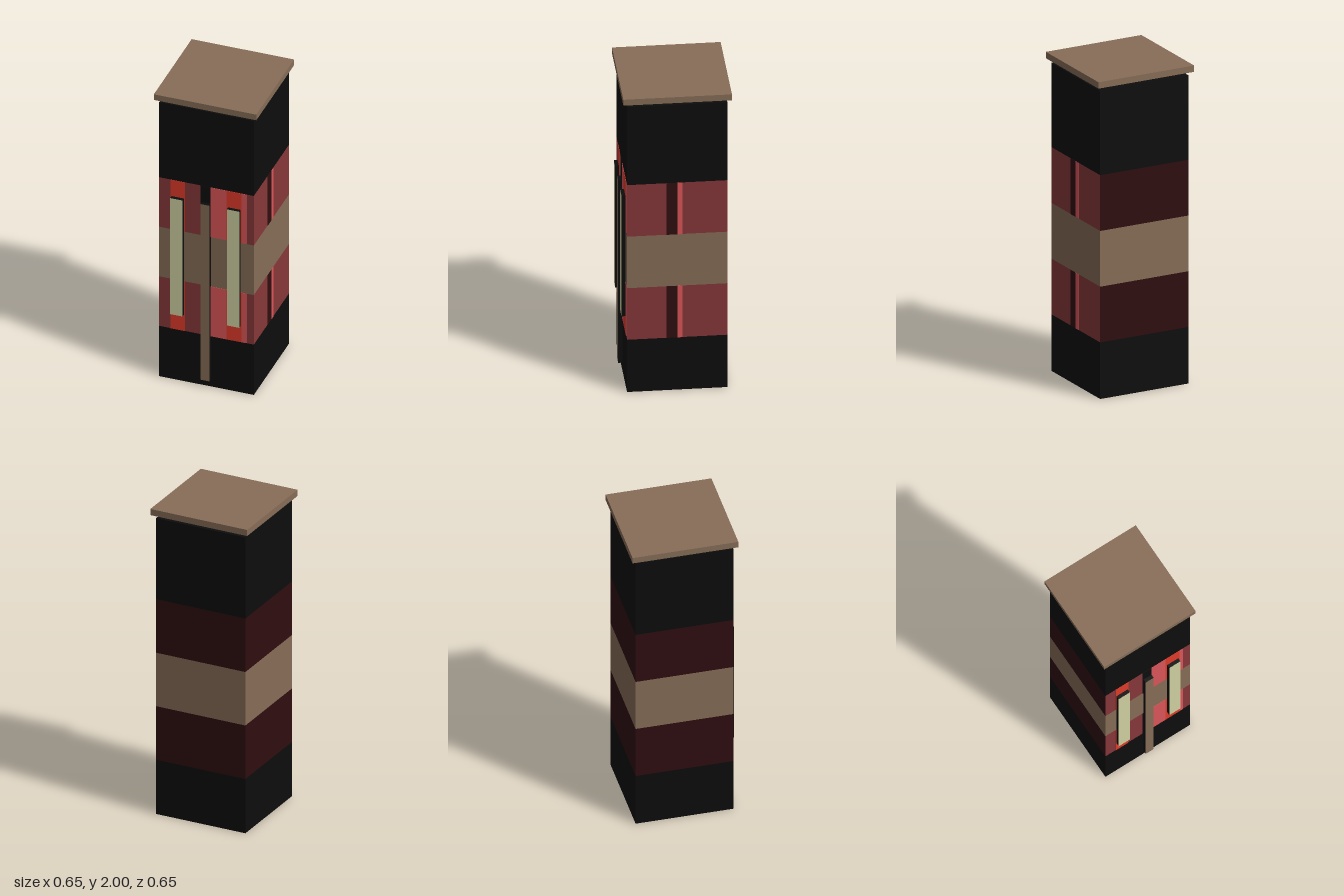
import * as THREE from 'three';

const mat = (name, color) => {
  const m = new THREE.MeshStandardMaterial({ color });
  m.name = name;
  return m;
};

export function createModel() {
  const black = mat('black', 0x0d0d0d);
  const brown = mat('brown', 0x876d57);
  const red = mat('dull red', 0x88383a);
  const lightRed = mat('light red', 0xdc5659);
  const brightRed = mat('bright red', 0xe23c2a);
  const maroon = mat('maroon', 0x2f0e10);
  const cream = mat('cream', 0xd2d3a2);

  const group = new THREE.Group();
  group.name = 'tower';

  // Box given by its minimum and maximum corners
  const box = (name, material, [x0, y0, z0], [x1, y1, z1]) => {
    const mesh = new THREE.Mesh(new THREE.BoxGeometry(x1 - x0, y1 - y0, z1 - z0), material);
    mesh.position.set((x0 + x1) / 2, (y0 + y1) / 2, (z0 + z1) / 2);
    mesh.name = name;
    group.add(mesh);
  };

  const H = 0.3; // half width of the tower
  const T = 0.002; // thickness of painted plates

  // Stacked square bands; red ones are maroon on the left-hand and rear faces
  const redFaces = [red, maroon, red, red, red, maroon];
  const band = (name, material, y0, y1) => box(name, material, [-H, y0, -H], [H, y1, H]);
  band('base', black, 0, 0.355);
  band('lowerRedBand', redFaces, 0.355, 0.705);
  band('middleBand', brown, 0.705, 1.055);
  band('upperRedBand', redFaces, 1.055, 1.405);
  band('topBlock', black, 1.405, 1.935);

  // Floating roof slab
  box('roofSlab', brown, [-0.325, 1.96, -0.325], [0.325, 2, 0.325]);

  // Painted stripes on both red bands
  const frontStripes = [
    ['brightStripe', brightRed, -0.228, -0.136],
    ['centreStripe', black, -0.036, 0.025],
    ['lightStripe', lightRed, 0.025, 0.127],
    ['brightStripe', brightRed, 0.127, 0.224],
    ['lightStripe', lightRed, 0.224, 0.252],
  ];
  const sideStripes = [
    ['sideDarkStripe', maroon, 0, 0.065],
    ['sideLightStripe', lightRed, -0.03, 0],
  ];
  for (const [y0, y1] of [[0.355, 0.705], [1.055, 1.405]]) {
    for (const [name, m, x0, x1] of frontStripes) box(name, m, [x0, y0, H], [x1, y1, H + T]);
    for (const [name, m, z0, z1] of sideStripes) box(name, m, [H, y0, z0], [H + T, y1, z1]);
  }

  // Raised front bars with black edges
  const bar = (name, face, x0, x1, y0, y1) =>
    box(name, [black, black, black, black, face, black], [x0, y0, H], [x1, y1, 0.325]);
  bar('centrePole', brown, -0.03, 0.027, 0.05, 1.29);
  bar('creamBar', cream, -0.222, -0.143, 0.47, 1.29);
  bar('creamBar', cream, 0.138, 0.217, 0.47, 1.29);

  return group;
}
